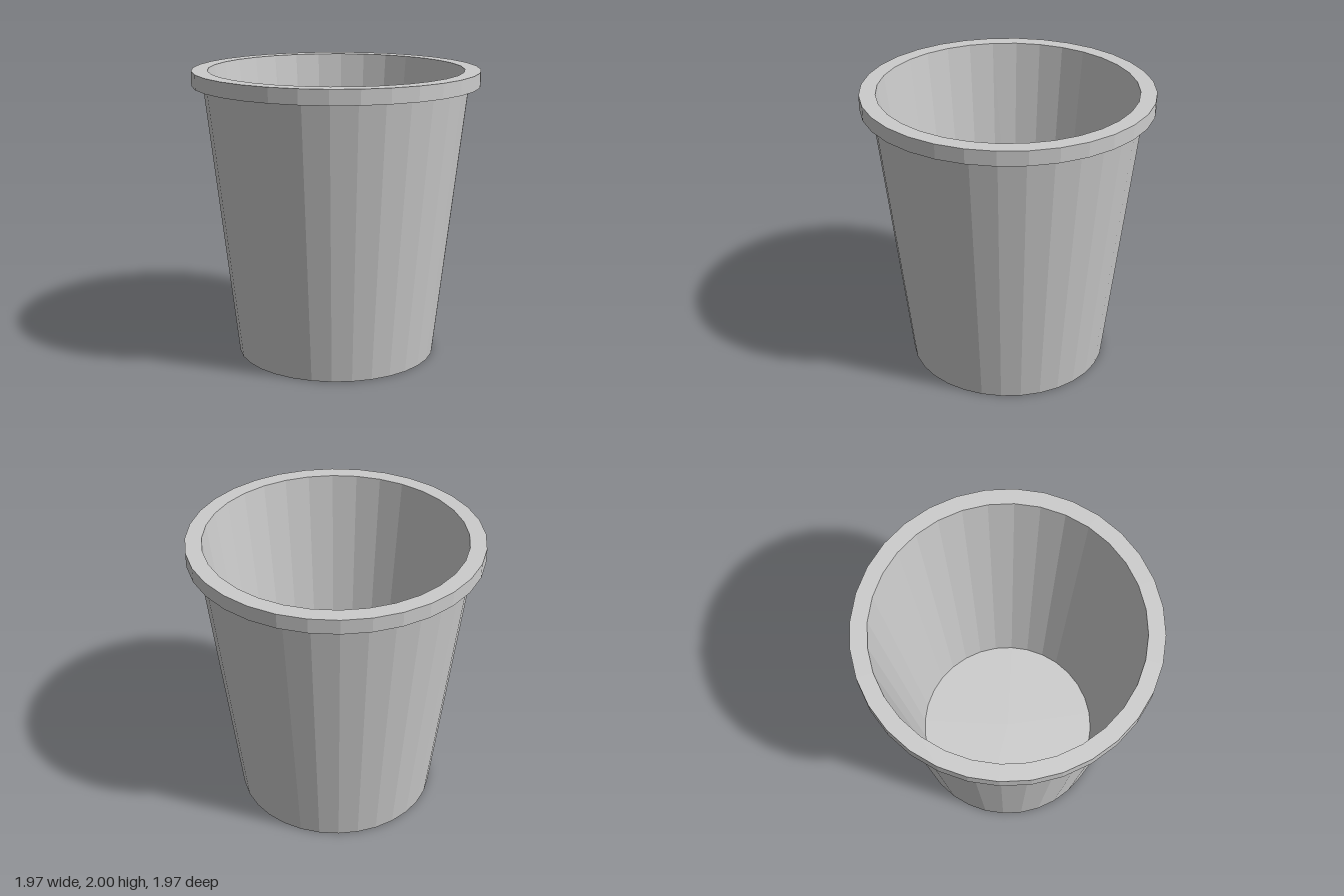
import * as THREE from 'three';

const SIDES = 32;

// Faceted surface of revolution from [radius, height] pairs
function turned(name, profile, material) {
  const points = profile.map(([r, y]) => new THREE.Vector2(r, y));
  const mesh = new THREE.Mesh(new THREE.LatheGeometry(points, SIDES), material);
  mesh.name = name;
  return mesh;
}

export function createModel() {
  const model = new THREE.Group();
  model.name = 'cup';
  const material = new THREE.MeshStandardMaterial({ color: 0xcccccc, flatShading: true });

  model.add(
    // Recessed underside, foot ring and tapered outer wall
    turned('outerWall', [[0, 0.05], [0.645, 0.05], [0.645, 0], [0.693, 0], [0.906, 1.9]], material),
    // Projecting band around the mouth
    turned('rim', [[0.906, 1.9], [0.983, 1.9], [0.983, 2], [0.874, 2]], material),
    // Tapered inner wall and floor
    turned('innerWall', [[0.874, 2], [0.644, 0.07], [0, 0.07]], material)
  );
  return model;
}
